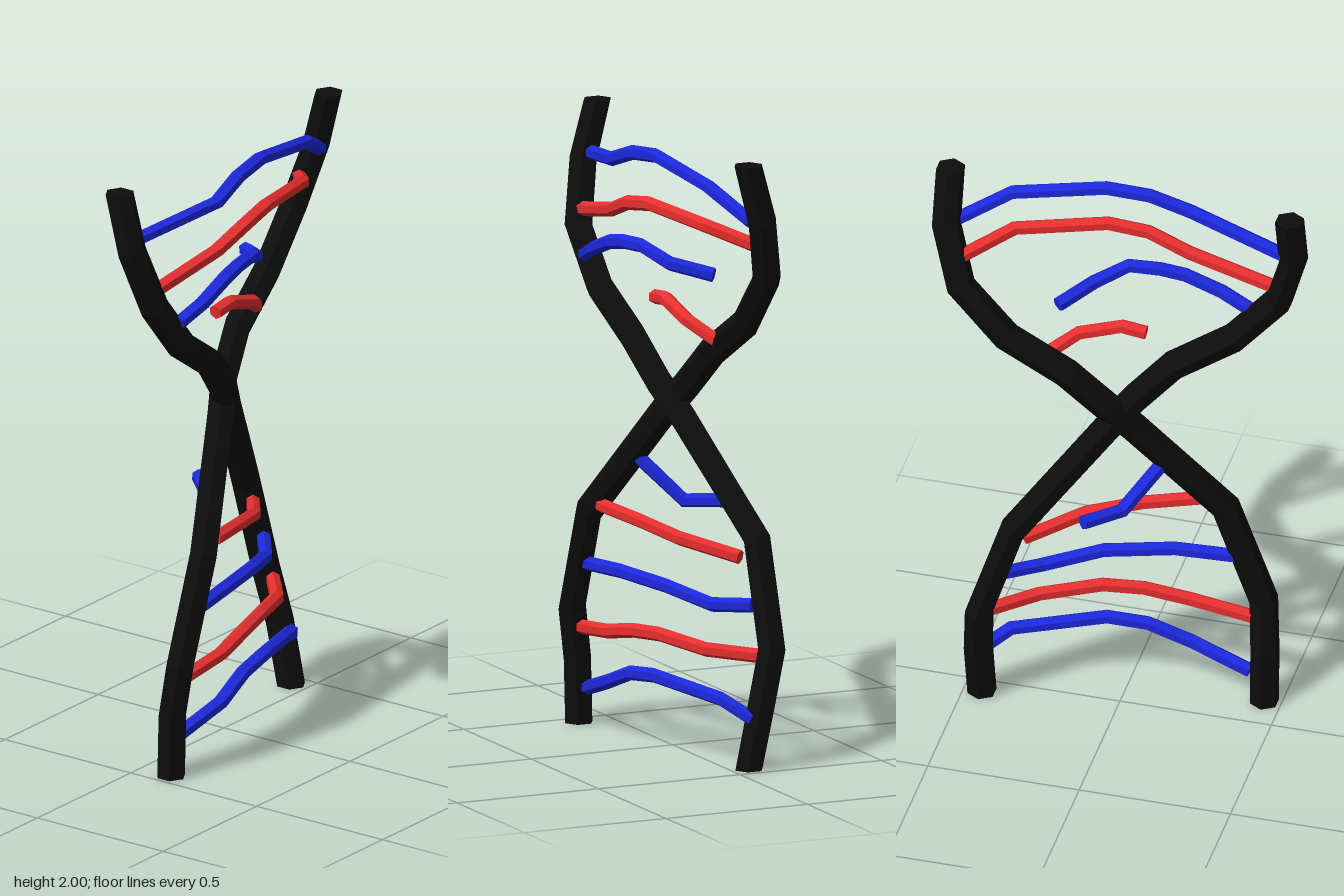
import * as THREE from 'three';

const material = (color) => new THREE.MeshStandardMaterial({ color, flatShading: true });

// Sweeps a hexagon along a polyline with mitred joints and closed ends.
// "axis" is the direction in which two of the hexagon's corners point.
function sweepHex(points, radius, axis, endTangent) {
  const path = points.map((p) => new THREE.Vector3(...p));
  const last = path.length - 1;
  const sides = 6;
  const positions = [];
  const index = [];
  path.forEach((p, i) => {
    const before = path[Math.max(i - 1, 0)];
    const after = path[Math.min(i + 1, last)];
    const tangent = new THREE.Vector3();
    if (endTangent && (i === 0 || i === last)) tangent.copy(endTangent);
    else {
      if (i > 0) tangent.add(p.clone().sub(before).normalize());
      if (i < last) tangent.add(after.clone().sub(p).normalize());
      tangent.normalize();
    }
    const u = axis.clone().addScaledVector(tangent, -axis.dot(tangent)).normalize();
    const v = new THREE.Vector3().crossVectors(tangent, u);
    for (let k = 0; k < sides; k++) {
      const a = (k / sides) * Math.PI * 2;
      const q = p.clone().addScaledVector(u, Math.cos(a) * radius).addScaledVector(v, Math.sin(a) * radius);
      positions.push(q.x, q.y, q.z);
    }
  });
  for (let i = 0; i < last; i++) {
    for (let k = 0; k < sides; k++) {
      const a = i * sides + k;
      const b = i * sides + ((k + 1) % sides);
      index.push(a, b, b + sides, a, b + sides, a + sides);
    }
  }
  const top = last * sides;
  for (let k = 1; k < sides - 1; k++) {
    index.push(0, k + 1, k, top, top + k, top + k + 1);
  }
  const geometry = new THREE.BufferGeometry();
  geometry.setAttribute('position', new THREE.Float32BufferAttribute(positions, 3));
  geometry.setIndex(index);
  geometry.computeVertexNormals();
  return geometry;
}

export function createModel() {
  const group = new THREE.Group();
  const black = material(0x0d0d0d);
  const red = material(0xe62e2e);
  const blue = material(0x1c28dc);
  const up = new THREE.Vector3(0, 1, 0);
  const front = new THREE.Vector3(0, 0, 1);

  const add = (name, geometry, mat) => {
    const mesh = new THREE.Mesh(geometry, mat);
    mesh.name = name;
    group.add(mesh);
  };

  // Two twisted backbone strands that cross in the middle
  const strandA = [
    [-0.445, 0, 0.12], [-0.445, 0.21, 0.125], [-0.435, 0.38, 0.148], [-0.31, 0.72, 0.148],
    [-0.04, 1.08, 0.015], [0.04, 1.18, -0.03], [0.16, 1.31, -0.065], [0.35, 1.435, -0.09],
    [0.5, 1.61, -0.095], [0.56, 1.81, -0.05], [0.56, 2, 0],
  ];
  const strandB = [
    [0.44, 0, -0.06], [0.44, 0.21, -0.105], [0.425, 0.38, -0.148], [0.315, 0.72, -0.148],
    [0.04, 1.08, -0.015], [-0.04, 1.18, 0.03], [-0.16, 1.31, 0.065], [-0.35, 1.435, 0.09],
    [-0.5, 1.61, 0.095], [-0.56, 1.81, 0.05], [-0.56, 2, 0],
  ];
  add('strandA', sweepHex(strandA, 0.048, front, up), black);
  add('strandB', sweepHex(strandB, 0.048, front, up), black);

  // Bent rungs from top to bottom, alternating blue and red
  const rungs = [
    [[-0.53, 1.835, 0.035], [-0.2, 1.885, 0.12], [-0.07, 1.93, 0.108], [0.07, 1.945, 0.092], [0.37, 1.9, 0.052], [0.54, 1.81, -0.02]],
    [[-0.48, 1.665, 0.09], [-0.2, 1.72, 0.12], [-0.06, 1.77, 0.13], [0.07, 1.79, 0.115], [0.36, 1.765, 0.045], [0.51, 1.71, -0.08]],
    [[-0.4, 1.535, 0.12], [-0.3, 1.575, 0.138], [-0.18, 1.62, 0.135], [-0.1, 1.635, 0.125], [0, 1.64, 0.11], [0.1, 1.595, 0.055], [0.19, 1.565, -0.055]],
    [[-0.08, 1.45, 0.025], [0, 1.46, 0.025], [0.14, 1.415, 0.015], [0.23, 1.36, -0.045]],
    [[-0.125, 0.92, 0.06], [-0.02, 0.79, -0.05], [0.08, 0.8, -0.16]],
    [[-0.24, 0.75, 0.14], [-0.05, 0.73, 0.09], [0.12, 0.7, 0.03], [0.29, 0.66, -0.1]],
    [[-0.34, 0.54, 0.14], [-0.15, 0.55, 0.115], [0.07, 0.54, 0.06], [0.25, 0.505, -0.02], [0.36, 0.515, -0.11]],
    [[-0.4, 0.32, 0.13], [-0.2, 0.345, 0.135], [-0.05, 0.375, 0.115], [0.08, 0.385, 0.085], [0.27, 0.365, 0.01], [0.41, 0.36, -0.11]],
    [[-0.4, 0.12, 0.11], [-0.2, 0.18, 0.135], [-0.06, 0.235, 0.12], [0.07, 0.25, 0.1], [0.36, 0.22, 0.0], [0.45, 0.165, -0.07]],
  ];
  rungs.forEach((points, i) => {
    add(`rung${i + 1}`, sweepHex(points, 0.024, up), i % 2 ? red : blue);
  });

  return group;
}
